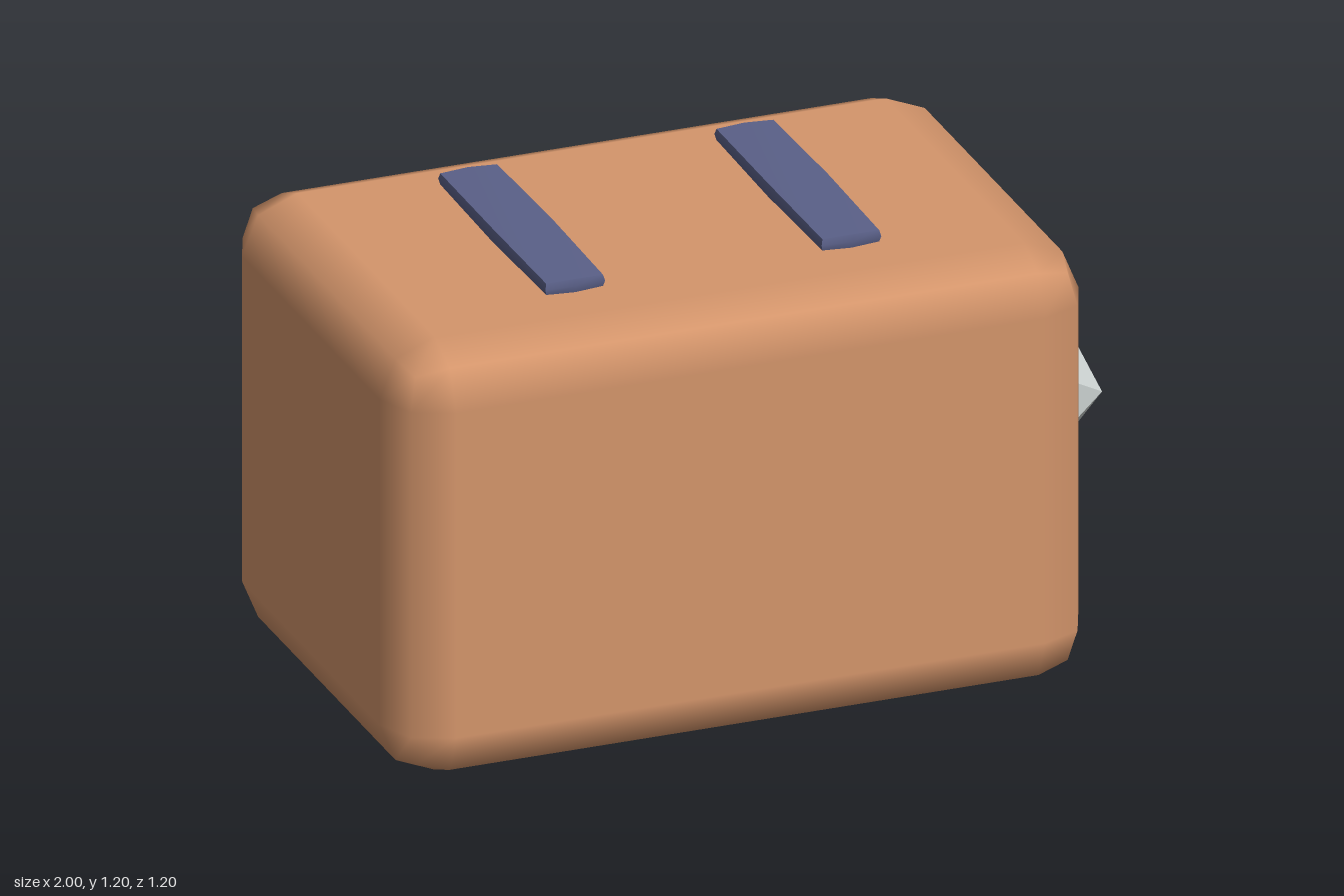
import * as THREE from 'three';
import { RoundedBoxGeometry } from 'three/addons/geometries/RoundedBoxGeometry.js';

const paint = (name, color) => {
  const m = new THREE.MeshStandardMaterial({ color });
  m.name = name;
  return m;
};

// Slim bar whose faces swell slightly towards their middles
function bulgedBar(hx, hy, hz) {
  const g = new THREE.BoxGeometry(2, 2, 2, 2, 2, 2);
  const p = g.attributes.position;
  const swell = (a, b, k) => (1 - k * a * a) * (1 - k * b * b);
  for (let i = 0; i < p.count; i++) {
    const x = p.getX(i), y = p.getY(i), z = p.getZ(i);
    p.setXYZ(i,
      hx * x * swell(y, z, 0.05),
      hy * y * swell(x, z, 0.16),
      hz * z * swell(x, y, 0.012));
  }
  g.computeVertexNormals();
  return g;
}

export function createModel() {
  const group = new THREE.Group();
  group.name = 'toaster';

  const copper = paint('copper body', 0xd4956b);
  const slate = paint('slate blue slot', 0x5a6088);
  const silver = paint('silver knob', 0xcad0cf);

  const add = (name, geometry, material, x, y, z) => {
    const mesh = new THREE.Mesh(geometry, material);
    mesh.name = name;
    mesh.position.set(x, y, z);
    group.add(mesh);
  };

  // Soft-edged body, with one bevel step per edge
  add('body', new RoundedBoxGeometry(1.822, 1.152, 1.2, 1, 0.144), copper, -0.089, 0.576, 0);

  // Bread slots on the top
  const slot = bulgedBar(0.082, 0.021, 0.36);
  add('rightSlot', slot, slate, -0.45, 1.179, 0);
  add('leftSlot', slot, slate, 0.27, 1.179, 0);

  // Faceted lever knob on the side (polyhedra are flat shaded at detail 0)
  add('knob', new THREE.IcosahedronGeometry(0.12, 0), silver, 0.898, 0.577, 0.097);

  return group;
}
